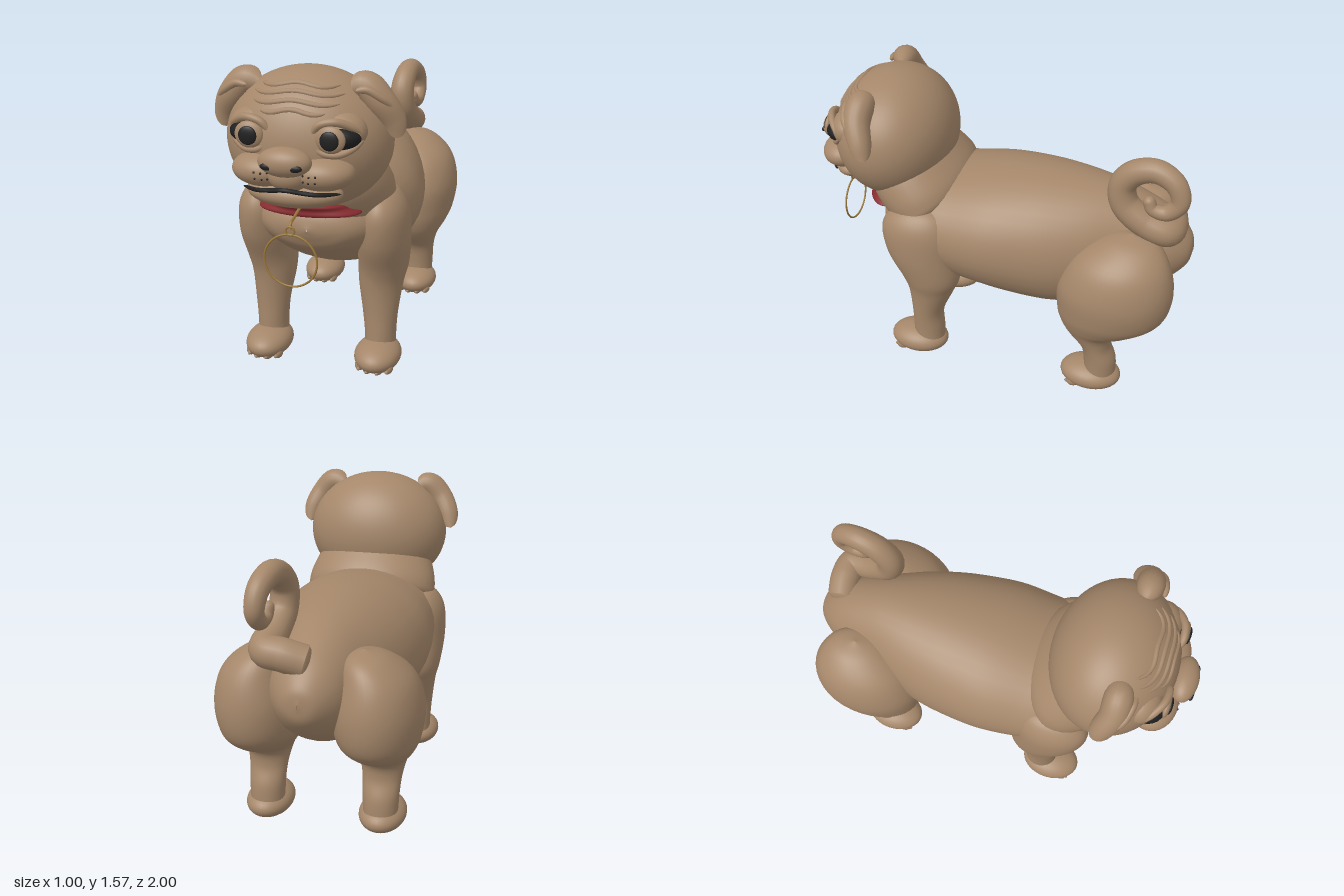
import * as THREE from 'three';

const mat = (name, color) => {
  const m = new THREE.MeshStandardMaterial({ color });
  m.name = name;
  return m;
};

export function createModel() {
  const dog = new THREE.Group();
  dog.name = 'dog';
  const fur = mat('tanFur', 0xa5876a);
  const black = mat('black', 0x202020);
  const red = mat('redCollar', 0x862b2f);
  const gold = mat('gold', 0x9a773a);

  const add = (name, geo, material) => {
    const m = new THREE.Mesh(geo, material);
    m.name = name;
    dog.add(m);
    return m;
  };
  const ball = (name, material, pos, radii, seg = 32) => {
    const m = add(name, new THREE.SphereGeometry(1, seg, Math.round(seg * 0.7)), material);
    m.position.set(...pos);
    m.scale.set(...radii);
    return m;
  };

  // Smooth skin through elliptical rings [x, y, z, halfWidth, halfDepth], tilted about x
  const loft = (name, rings, tilt, side = 1, material = fur) => {
    const steps = (rings.length - 1) * 6, n = 40;
    const centres = new THREE.CatmullRomCurve3(rings.map(r => new THREE.Vector3(r[0] * side, r[1], r[2])), false, 'catmullrom', 0.5);
    const sizes = new THREE.CatmullRomCurve3(rings.map(r => new THREE.Vector3(r[3], r[4], 0)), false, 'catmullrom', 0.5);
    const pos = [], idx = [];
    for (let i = 0; i <= steps; i++) {
      const c = centres.getPoint(i / steps), s = sizes.getPoint(i / steps);
      for (let j = 0; j < n; j++) {
        const a = j / n * Math.PI * 2;
        const v = Math.max(s.y, 0.001) * Math.sin(a);
        pos.push(c.x + Math.max(s.x, 0.001) * Math.cos(a), c.y + v * Math.cos(tilt), c.z + v * Math.sin(tilt));
        if (i < steps) {
          const p = i * n + j, q = i * n + (j + 1) % n;
          idx.push(p, q, p + n, q, q + n, p + n);
        }
      }
    }
    const g = new THREE.BufferGeometry();
    g.setAttribute('position', new THREE.Float32BufferAttribute(pos, 3));
    g.setIndex(idx);
    g.computeVertexNormals();
    return add(name, g, material);
  };

  // Tube whose radius follows a rule along its length
  const taperTube = (name, material, pts, radius, seg = 48, sides = 16) => {
    const curve = new THREE.CatmullRomCurve3(pts.map(p => new THREE.Vector3(...p)));
    const g = new THREE.TubeGeometry(curve, seg, 1, sides);
    const p = g.attributes.position, v = new THREE.Vector3();
    for (let i = 0; i <= seg; i++) {
      const c = curve.getPointAt(i / seg), r = radius(i / seg);
      for (let j = 0; j <= sides; j++) {
        const k = i * (sides + 1) + j;
        v.fromBufferAttribute(p, k).sub(c).multiplyScalar(r).add(c);
        p.setXYZ(k, v.x, v.y, v.z);
      }
    }
    return add(name, g, material);
  };
  const rounded = r => t => r * Math.sqrt(Math.max(0, 1 - (2 * t - 1) ** 4)) + 0.0005;

  // Trunk: [z, top, bottom, halfWidth] from rump to chest
  const trunk = [
    [-1.0, 0.81, 0.79, 0], [-0.98, 0.88, 0.71, 0.08], [-0.9, 0.97, 0.62, 0.155], [-0.8, 1.03, 0.55, 0.2],
    [-0.65, 1.09, 0.47, 0.25], [-0.5, 1.12, 0.42, 0.315], [-0.35, 1.135, 0.39, 0.365], [-0.2, 1.14, 0.4, 0.395],
    [0, 1.13, 0.435, 0.415], [0.2, 1.1, 0.475, 0.4], [0.35, 1.07, 0.54, 0.375], [0.5, 1.0, 0.63, 0.31],
    [0.6, 0.92, 0.69, 0.21], [0.64, 0.87, 0.75, 0.12], [0.66, 0.81, 0.8, 0]];
  loft('body', trunk.map(([z, t, b, w]) => [0, (t + b) / 2, z, w, (t - b) / 2]), 0);

  // Neck, leaning forward into the head
  loft('neck', [[0, 1.16, 0.55, 0.28, 0.2], [0, 1.065, 0.49, 0.335, 0.235], [0, 0.965, 0.41, 0.362, 0.243],
    [0, 0.9, 0.375, 0.33, 0.21], [0, 0.85, 0.35, 0.1, 0.1]], Math.PI * 0.66);

  // Head
  const H = { y: 1.24, z: 0.58, rx: 0.39, ry: 0.33, rz: 0.31 };
  ball('head', fur, [0, H.y, H.z], [H.rx, H.ry, H.rz], 56);
  const headZ = (x, y) => H.z + H.rz * Math.sqrt(Math.max(0, 1 - (x / H.rx) ** 2 - ((y - H.y) / H.ry) ** 2));

  // Forehead wrinkles lying on the skull
  [[1.41, 0.15], [1.445, 0.2], [1.48, 0.21], [1.51, 0.18]].forEach(([y0, w]) => {
    const pts = [];
    for (let i = 0; i <= 10; i++) {
      const t = i / 5 - 1, y = y0 + 0.009 * Math.cos(t * Math.PI * 1.4);
      pts.push([w * t, y, headZ(w * t, y) - 0.004]);
    }
    taperTube('foreheadWrinkle', fur, pts, rounded(0.012), 40, 10);
  });

  // Muzzle, chin, nose and mouth
  ball('upperLip', fur, [0, 1.145, 0.87], [0.1, 0.075, 0.09]);
  ball('chin', fur, [0, 1.045, 0.8], [0.22, 0.068, 0.12]);
  ball('nose', fur, [0, 1.215, 0.93], [0.12, 0.066, 0.068]);
  taperTube('mouth', black, [[-0.225, 1.066, 0.847], [-0.14, 1.073, 0.908], [-0.07, 1.082, 0.928], [0, 1.093, 0.943],
    [0.07, 1.082, 0.928], [0.14, 1.073, 0.908], [0.225, 1.066, 0.847]], rounded(0.01), 48, 10);

  for (const s of [1, -1]) {
    const side = s > 0 ? 'left' : 'right';
    ball(side + 'Jowl', fur, [s * 0.13, 1.15, 0.82], [0.15, 0.08, 0.12]);
    ball(side + 'Nostril', black, [s * 0.06, 1.203, 0.979], [0.034, 0.016, 0.013], 16);
    [[0.08, 1.16], [0.108, 1.157], [0.138, 1.16], [0.08, 1.132], [0.105, 1.129], [0.135, 1.132]].forEach(([x, y]) => {
      const z = 0.82 + 0.12 * Math.sqrt(1 - ((x - 0.13) / 0.15) ** 2 - ((y - 1.15) / 0.08) ** 2);
      ball('whiskerDot', black, [s * x, y, z], [0.005, 0.005, 0.005], 8);
    });

    // Eyes: socket, dark almond, iris, pupil and lids
    ball(side + 'EyeSocket', fur, [s * 0.19, 1.32, 0.75], [0.125, 0.095, 0.095]);
    ball(side + 'Eye', black, [s * 0.2, 1.305, 0.785], [0.1, 0.058, 0.09], 24);
    ball(side + 'Iris', fur, [s * 0.183, 1.307, 0.866], [0.066, 0.06, 0.024], 28);
    ball(side + 'Pupil', black, [s * 0.183, 1.306, 0.886], [0.042, 0.042, 0.012], 24);
    taperTube(side + 'UpperLid', fur, [[s * 0.09, 1.315, 0.85], [s * 0.13, 1.365, 0.86], [s * 0.2, 1.38, 0.85],
      [s * 0.26, 1.355, 0.815], [s * 0.305, 1.315, 0.77]], rounded(0.018), 32, 12);
    taperTube(side + 'LowerLid', fur, [[s * 0.09, 1.305, 0.85], [s * 0.13, 1.25, 0.86], [s * 0.2, 1.235, 0.845],
      [s * 0.26, 1.255, 0.81], [s * 0.305, 1.295, 0.77]], rounded(0.015), 32, 12);

    // Floppy ears, broad at the top, with a folded edge
    taperTube(side + 'Ear', fur, [[s * 0.215, 1.485, 0.635], [s * 0.275, 1.5, 0.64], [s * 0.345, 1.435, 0.64],
      [s * 0.395, 1.35, 0.61], [s * 0.415, 1.265, 0.59]], t => rounded(0.078)(t) * (1 - 0.35 * t), 32, 20);
    taperTube(side + 'EarFold', fur, [[s * 0.25, 1.49, 0.715], [s * 0.3, 1.495, 0.71], [s * 0.36, 1.46, 0.695],
      [s * 0.405, 1.42, 0.665]], rounded(0.018), 24, 12);

    // Front leg
    loft(side + 'FrontLeg', [[0.3, 0.98, 0.36, 0, 0], [0.305, 0.94, 0.375, 0.07, 0.13], [0.305, 0.85, 0.38, 0.12, 0.19],
      [0.305, 0.7, 0.365, 0.13, 0.187], [0.295, 0.55, 0.325, 0.125, 0.158], [0.285, 0.45, 0.33, 0.112, 0.125],
      [0.288, 0.3, 0.355, 0.09, 0.087], [0.29, 0.18, 0.355, 0.08, 0.087], [0.29, 0.08, 0.355, 0.08, 0.087]], Math.PI / 2, s);

    // Hind leg with a heavy thigh
    loft(side + 'HindLeg', [[0.23, 0.985, -0.71, 0, 0], [0.245, 0.95, -0.71, 0.1, 0.13], [0.28, 0.85, -0.68, 0.175, 0.235],
      [0.285, 0.7, -0.66, 0.215, 0.288], [0.285, 0.55, -0.645, 0.2, 0.276], [0.29, 0.46, -0.605, 0.16, 0.215],
      [0.29, 0.39, -0.56, 0.12, 0.13], [0.29, 0.3, -0.585, 0.098, 0.08], [0.29, 0.2, -0.613, 0.09, 0.085],
      [0.29, 0.08, -0.62, 0.085, 0.085]], Math.PI / 2, s);

    // Paws with toes and short claws
    for (const [end, z] of [['Front', 0.415], ['Hind', -0.57]]) {
      ball(side + end + 'Paw', fur, [s * 0.292, 0.081, z], [0.118, 0.077, 0.163]);
      [-0.072, -0.026, 0.026, 0.072].forEach(dx => {
        const tz = z + 0.117 - Math.abs(dx) * 0.5;
        ball('toe', fur, [s * 0.292 + dx, 0.05, tz], [0.026, 0.031, 0.035], 16);
        ball('claw', fur, [s * 0.292 + dx, 0.042, tz + 0.03], [0.01, 0.01, 0.016], 10);
      });
    }
  }

  // Curled tail with a blunt root
  const tail = [[0.0, 0.96, -0.87], [0.1, 0.99, -0.885], [0.18, 1.0, -0.87], [0.185, 1.04, -0.75], [0.172, 1.12, -0.65],
    [0.165, 1.22, -0.635], [0.17, 1.295, -0.69], [0.18, 1.325, -0.79], [0.2, 1.28, -0.885], [0.21, 1.19, -0.915],
    [0.21, 1.125, -0.86], [0.205, 1.13, -0.79], [0.2, 1.165, -0.77]];
  taperTube('tail', fur, tail, t => 0.078 - 0.048 * t * t, 110, 20);
  ball('tailRoot', fur, tail[0], [0.03, 0.077, 0.077], 20);
  ball('tailTip', fur, tail[tail.length - 1], [0.03, 0.03, 0.03], 16);

  // Collar under the chin, widening downwards
  loft('collar', [[0, 0.957, 0.6, 0, 0], [0, 0.953, 0.6, 0.17, 0.13], [0, 0.925, 0.595, 0.21, 0.133],
    [0, 0.893, 0.59, 0.238, 0.125], [0, 0.888, 0.59, 0, 0]], Math.PI / 2, 1, red);

  // Cord and hanging hoop
  taperTube('cord', gold, [[0, 0.935, 0.7], [0, 0.945, 0.74], [0, 0.93, 0.82], [0, 0.918, 0.87], [0, 0.89, 0.882]],
    () => 0.007, 24, 8);
  [[0.02, 0.885], [0.124, 0.745]].forEach(([r, y]) => {
    add('hoop', new THREE.TorusGeometry(r, 0.005, 8, 56), gold).position.set(0, y, 0.882);
  });
  return dog;
}
